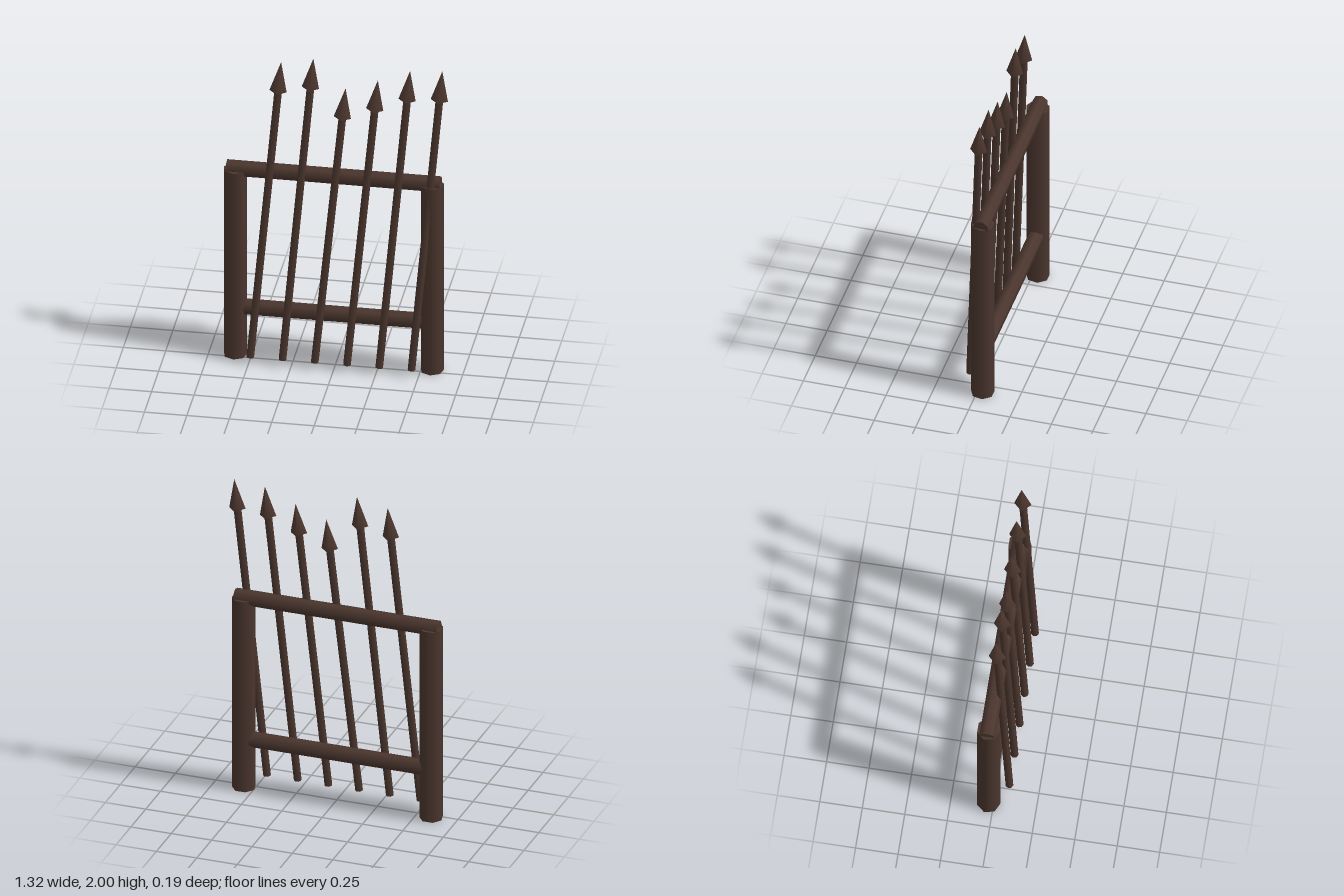
import * as THREE from 'three';

export function createModel() {
  const group = new THREE.Group();
  const wood = new THREE.MeshStandardMaterial({ color: 0x4b362e });
  wood.name = 'dark brown wood';
  const Z = -0.031; // plane of the frame

  const add = (parent, name, geometry, x, y, z) => {
    const mesh = new THREE.Mesh(geometry, wood);
    mesh.name = name;
    mesh.position.set(x, y, z);
    parent.add(mesh);
    return mesh;
  };

  // Seven-sided upright posts
  const postGeometry = new THREE.CylinderGeometry(0.07, 0.07, 1.23, 7);
  add(group, 'rightPost', postGeometry, -0.596, 0.615, Z);
  add(group, 'leftPost', postGeometry, 0.564, 0.615, Z);

  // Horizontal rails: the top one runs past the posts, the bottom one ends inside them
  const rail = (name, x0, x1, y) => {
    const geometry = new THREE.CylinderGeometry(0.048, 0.048, x1 - x0, 7);
    add(group, name, geometry, (x0 + x1) / 2, y, Z - 0.002).rotation.z = Math.PI / 2;
  };
  rail('topRail', -0.645, 0.615, 1.233);
  rail('bottomRail', -0.58, 0.55, 0.32);

  // Leaning spears of differing heights, each a shaft with a pointed head
  const headLength = 0.19;
  const up = new THREE.Vector3(0, 1, 0);
  [1.96, 2.0, 1.82, 1.89, 1.97, 1.985].forEach((tipY, i) => {
    const x = -0.49 + i * 0.19;
    const foot = new THREE.Vector3(x, 0.047, 0.075);
    const lean = new THREE.Vector3(x + 0.165, tipY, -0.03).sub(foot);
    const length = lean.length();
    const shaftLength = length - headLength;

    const spear = new THREE.Group();
    spear.name = 'spear' + (i + 1);
    spear.position.copy(foot);
    spear.quaternion.setFromUnitVectors(up, lean.normalize());
    add(spear, 'shaft', new THREE.CylinderGeometry(0.023, 0.023, shaftLength, 7), 0, shaftLength / 2, 0);
    add(spear, 'spearhead', new THREE.ConeGeometry(0.051, headLength, 4), 0, length - headLength / 2, 0);
    group.add(spear);
  });

  return group;
}
